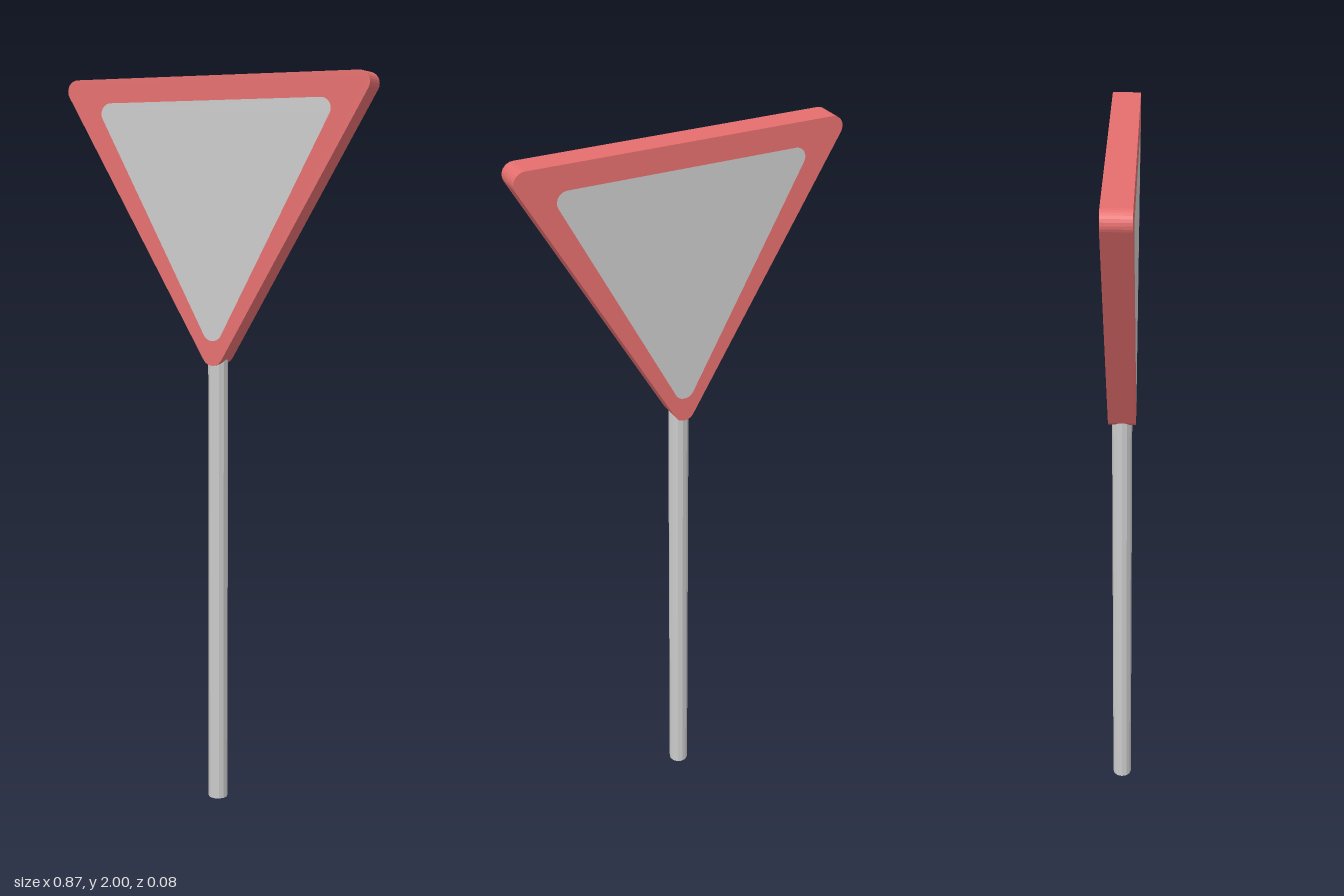
import * as THREE from 'three';

// Downward-pointing triangle with rounded corners; (cx, yTop) and (0, yTip) are the corner centres
function roundedTriangle(cx, yTop, yTip, r) {
  const tilt = Math.atan2(cx, yTop - yTip); // lean of the sides from vertical
  const shape = new THREE.Shape();
  shape.absarc(cx, yTop, r, -tilt, Math.PI / 2, false);
  shape.absarc(-cx, yTop, r, Math.PI / 2, Math.PI + tilt, false);
  shape.absarc(0, yTip, r, Math.PI + tilt, Math.PI * 2 - tilt, false);
  shape.closePath();
  return shape;
}

export function createModel() {
  const group = new THREE.Group();
  const grey = new THREE.MeshStandardMaterial({ color: 0xcccccc, flatShading: true });
  const red = new THREE.MeshStandardMaterial({ color: 0xe66f6f, flatShading: true });
  const add = (name, geometry, material) => {
    const mesh = new THREE.Mesh(geometry, material);
    mesh.name = name;
    group.add(mesh);
    return mesh;
  };

  // Post
  const postHeight = 1.25;
  add('post', new THREE.CylinderGeometry(0.027, 0.027, postHeight, 12), grey)
    .position.y = postHeight / 2;

  // Red sign panel
  const half = 0.037;
  const panel = new THREE.ExtrudeGeometry(roundedTriangle(0.407, 1.97, 1.265, 0.03), {
    depth: half * 2, bevelEnabled: false, curveSegments: 4,
  });
  panel.translate(0, 0, -half);
  add('signPanel', panel, red);

  // Grey faces, flush on the front and back
  const face = new THREE.ShapeGeometry(roundedTriangle(0.305, 1.908, 1.33, 0.028), 5);
  add('frontFace', face, grey).position.z = half + 0.0006;
  const back = add('backFace', face, grey);
  back.position.z = -half - 0.0006;
  back.rotation.y = Math.PI;

  return group;
}
